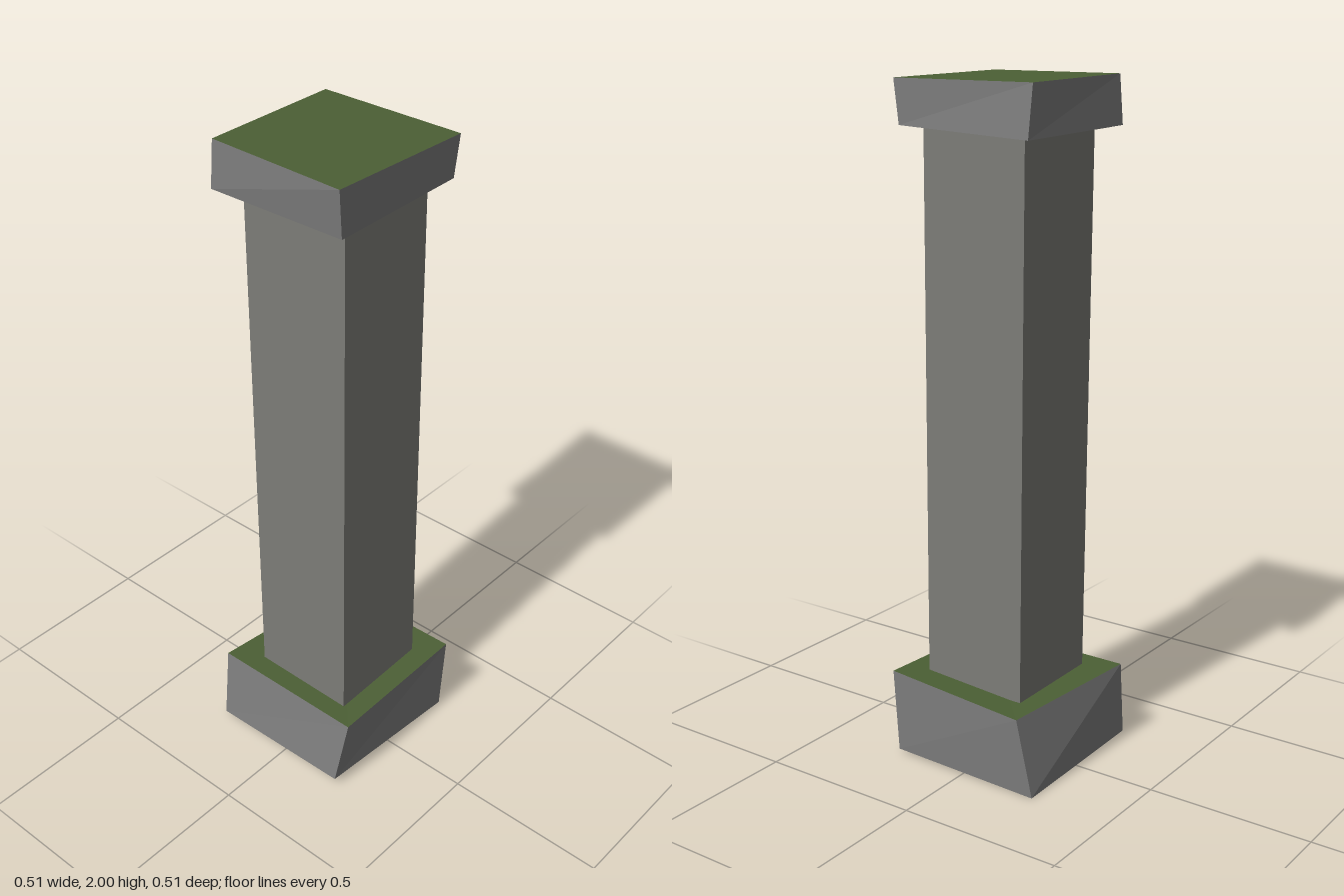
import * as THREE from 'three';

const stone = new THREE.MeshStandardMaterial({ color: 0x7e7e7e });
stone.name = 'stone';
const shaftStone = new THREE.MeshStandardMaterial({ color: 0x7c7c77 });
shaftStone.name = 'shaft stone';
const moss = new THREE.MeshStandardMaterial({ color: 0x4c6035 });
moss.name = 'moss';

// Uneven block: each ring lists its corners as back left-hand, back right-hand,
// front right-hand, front left-hand (-x-z, +x-z, +x+z, -x+z).
function roughBlock(name, bottom, top, side, topMaterial) {
  const box = new THREE.BoxGeometry(1, 1, 1);
  const p = box.attributes.position;
  for (let i = 0; i < p.count; i++) {
    const right = p.getX(i) > 0;
    const corner = p.getZ(i) > 0 ? (right ? 2 : 3) : (right ? 1 : 0);
    p.setXYZ(i, ...(p.getY(i) > 0 ? top : bottom)[corner]);
  }
  const geometry = box.toNonIndexed();
  geometry.computeVertexNormals();
  // The third face of a box is its top
  const mesh = new THREE.Mesh(geometry, [side, side, topMaterial, side, side, side]);
  mesh.name = name;
  return mesh;
}

export function createModel() {
  const pillar = new THREE.Group();
  pillar.name = 'pillar';

  // Plinth with a mossy top
  pillar.add(roughBlock('base',
    [[-0.254, 0.013, -0.251], [0.241, 0, -0.249], [0.235, 0.01, 0.24], [-0.257, 0.03, 0.22]],
    [[-0.229, 0.246, -0.254], [0.257, 0.238, -0.206], [0.242, 0.265, 0.252], [-0.227, 0.247, 0.247]],
    stone, moss));

  // Slightly twisted shaft, its ends set into the base and the capital
  pillar.add(roughBlock('shaft',
    [[-0.165, 0.2, -0.155], [0.163, 0.2, -0.153], [0.16, 0.2, 0.18], [-0.168, 0.2, 0.178]],
    [[-0.163, 1.9, -0.175], [0.16, 1.9, -0.164], [0.16, 1.9, 0.173], [-0.163, 1.9, 0.172]],
    shaftStone, shaftStone));

  // Capital with a mossy top
  pillar.add(roughBlock('capital',
    [[-0.229, 1.86, -0.225], [0.223, 1.847, -0.217], [0.217, 1.868, 0.213], [-0.222, 1.86, 0.213]],
    [[-0.227, 2, -0.215], [0.216, 1.993, -0.227], [0.221, 1.994, 0.226], [-0.239, 2, 0.22]],
    stone, moss));

  return pillar;
}
